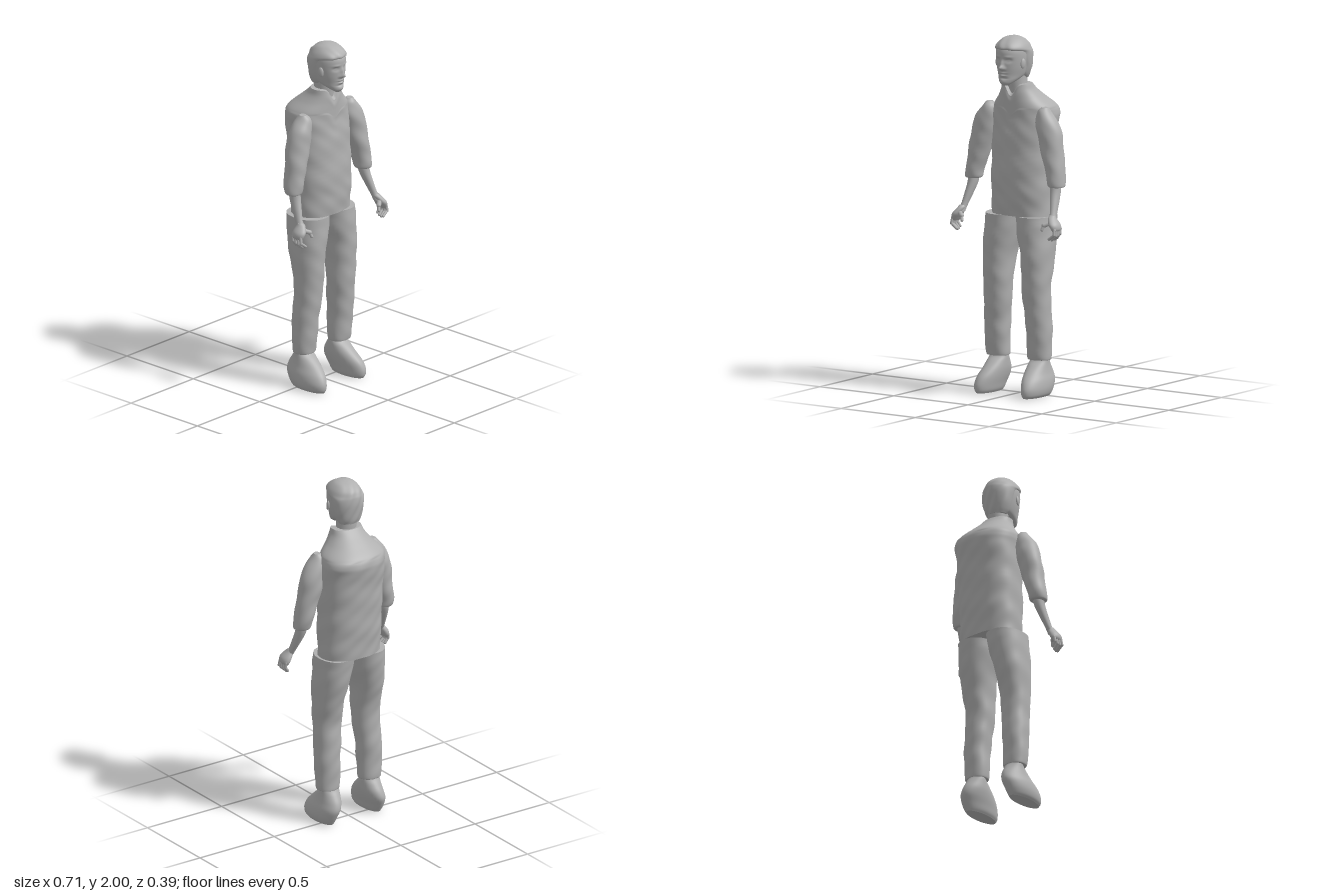
import * as THREE from 'three';

const grey = new THREE.MeshStandardMaterial({ color: 0xb0b0b0 });
grey.name = 'plain grey';

const add = (parent, name, geometry) => {
  const mesh = new THREE.Mesh(geometry, grey);
  mesh.name = name;
  parent.add(mesh);
  return mesh;
};

// Smooth closed loft through horizontal sections [y, xMin, xMax, zMin, zMax].
// power: 2 is an ellipse, more is boxier. side -1 mirrors in x. sculpt(v) moves each vertex.
function loft(rows, { power = 2, side = 1, steps = 5, seg = 36, sculpt = null } = {}) {
  const spline = new THREE.CubicInterpolant(
    rows.map((r, i) => i), rows.flat(), 5, new Float32Array(5));
  const count = (rows.length - 1) * steps;
  const pos = [], idx = [], v = new THREE.Vector3();
  const bend = (c) => Math.sign(c) * Math.abs(c) ** (2 / power);
  for (let i = 0; i <= count; i++) {
    const [y, x0, x1, z0, z1] = spline.evaluate(i / steps);
    for (let j = 0; j < seg; j++) {
      const a = (j / seg) * Math.PI * 2;
      v.set(side * (x0 + x1) / 2 + Math.abs(x1 - x0) / 2 * bend(Math.cos(a)), y,
        (z0 + z1) / 2 + (z1 - z0) / 2 * bend(Math.sin(a)));
      if (sculpt) sculpt(v);
      pos.push(v.x, v.y, v.z);
    }
  }
  for (let i = 0; i < count; i++) {
    for (let j = 0; j < seg; j++) {
      const a = i * seg + j, b = i * seg + (j + 1) % seg;
      idx.push(a, a + seg, b, b, a + seg, b + seg);
    }
  }
  // End caps with their own corners, so the rims stay sharp
  for (const top of [false, true]) {
    const from = top ? count * seg : 0, base = pos.length / 3;
    const [y, x0, x1, z0, z1] = rows[top ? rows.length - 1 : 0];
    pos.push(...pos.slice(from * 3, (from + seg) * 3), side * (x0 + x1) / 2, y, (z0 + z1) / 2);
    for (let j = 0; j < seg; j++) {
      const a = base + j, b = base + (j + 1) % seg;
      idx.push(base + seg, top ? b : a, top ? a : b);
    }
  }
  const g = new THREE.BufferGeometry();
  g.setAttribute('position', new THREE.Float32BufferAttribute(pos, 3));
  g.setIndex(idx);
  g.computeVertexNormals();
  return g;
}

// Soft cloth folds
const folds = (amount) => (v) => {
  v.z += amount * Math.sin(v.y * 47 + v.x * 19) * Math.sin(v.x * 31 + v.y * 12);
  v.x += amount * 0.6 * Math.sin(v.y * 39 + v.z * 23);
};

// Rounded rod between two points, for finger joints
function rod(parent, name, a, b, radius) {
  const p = new THREE.Vector3(...a), q = new THREE.Vector3(...b);
  const mesh = add(parent, name, new THREE.CapsuleGeometry(radius, p.distanceTo(q), 4, 10));
  mesh.position.copy(p).add(q).multiplyScalar(0.5);
  mesh.quaternion.setFromUnitVectors(new THREE.Vector3(0, 1, 0), q.sub(p).normalize());
}

// Face relief: [x, y, widthX, widthY, push]
const FACE = [
  [0, 1.833, 0.012, 0.012, 0.026], [0, 1.855, 0.009, 0.02, 0.013],  // nose tip and bridge
  [-0.015, 1.828, 0.007, 0.007, 0.006], [0.015, 1.828, 0.007, 0.007, 0.006], // nostrils
  [-0.035, 1.874, 0.016, 0.01, -0.011], [0.035, 1.874, 0.016, 0.01, -0.011], // eye sockets
  [-0.035, 1.873, 0.009, 0.005, 0.007], [0.035, 1.873, 0.009, 0.005, 0.007], // eyes
  [-0.035, 1.894, 0.02, 0.006, 0.004], [0.035, 1.894, 0.02, 0.006, 0.004],   // brows
  [0, 1.803, 0.02, 0.005, 0.007], [0, 1.789, 0.017, 0.005, 0.007],           // lips
  [0, 1.796, 0.022, 0.0025, -0.006], [0, 1.773, 0.025, 0.006, -0.006],       // mouth, chin fold
  [0, 1.752, 0.022, 0.012, 0.005],                                           // chin
];

function buildHead(cx) {
  const head = new THREE.Group();
  head.name = 'head';
  add(head, 'neck', loft([
    [1.62, -0.065, 0.06, -0.03, 0.075], [1.70, -0.062, 0.056, -0.03, 0.08],
    [1.75, -0.062, 0.052, -0.033, 0.085], [1.80, -0.065, 0.05, -0.035, 0.09]]));
  const ring = (y, r, z0, z1) => [y, cx - r, cx + r, z0, z1];
  add(head, 'face', loft([
    ring(1.732, 0.018, 0.115, 0.145), ring(1.745, 0.036, 0.09, 0.154), ring(1.765, 0.055, 0.03, 0.157),
    ring(1.79, 0.069, -0.03, 0.157), ring(1.83, 0.08, -0.042, 0.161), ring(1.88, 0.087, -0.05, 0.164),
    ring(1.92, 0.087, -0.05, 0.164), ring(1.95, 0.079, -0.04, 0.15), ring(1.975, 0.06, -0.01, 0.12),
    ring(1.99, 0.03, 0.02, 0.08)], {
    steps: 9, seg: 96,
    sculpt: (v) => {
      if (v.z < 0.1) return;
      const x = v.x - cx, y = v.y;
      for (const [fx, fy, sx, sy, push] of FACE) {
        v.z += push * Math.exp(-(((x - fx) / sx) ** 2) - ((y - fy) / sy) ** 2);
      }
    },
  }));
  // Hair covers the back, then sweeps forward above the brow
  add(head, 'hair', loft([
    ring(1.765, 0.06, -0.034, 0.05), ring(1.79, 0.074, -0.043, 0.07), ring(1.83, 0.087, -0.05, 0.08),
    ring(1.88, 0.094, -0.057, 0.092), ring(1.915, 0.095, -0.057, 0.115), ring(1.935, 0.092, -0.053, 0.163),
    ring(1.96, 0.08, -0.04, 0.154), ring(1.985, 0.057, -0.008, 0.118), ring(1.996, 0.032, 0.02, 0.086),
    ring(2.0, 0.008, 0.045, 0.06)], {
    power: 2.1, seg: 60,
    sculpt: (v) => { v.z += 0.0025 * Math.sin(v.x * 110 + v.y * 60); },
  }));
  for (const side of [-1, 1]) {
    const ear = add(head, 'ear', new THREE.SphereGeometry(1, 16, 12));
    ear.scale.set(0.008, 0.028, 0.016);
    ear.position.set(cx + side * 0.087, 1.855, 0.085);
    ear.rotation.set(-0.15, side * -0.3, 0);
  }
  return head;
}

function buildArm(side) {
  const arm = new THREE.Group();
  arm.name = side > 0 ? 'leftArm' : 'rightArm';
  add(arm, 'sleeve', loft([
    [1.18, 0.25, 0.315, 0.015, 0.085], [1.187, 0.23, 0.326, 0.0, 0.098], [1.23, 0.222, 0.325, -0.012, 0.104],
    [1.30, 0.2, 0.315, -0.02, 0.102], [1.40, 0.166, 0.303, -0.028, 0.098], [1.48, 0.145, 0.288, -0.032, 0.096],
    [1.54, 0.136, 0.262, -0.026, 0.09], [1.59, 0.145, 0.222, -0.01, 0.075], [1.614, 0.168, 0.205, 0.012, 0.055]],
  { side, sculpt: folds(0.003) }));
  add(arm, 'forearm', loft([
    [1.0, 0.286, 0.325, 0.108, 0.155], [1.04, 0.281, 0.317, 0.085, 0.133], [1.10, 0.265, 0.311, 0.052, 0.113],
    [1.16, 0.25, 0.306, 0.025, 0.095], [1.22, 0.245, 0.305, 0.015, 0.085]], { side, seg: 24 }));
  add(arm, 'palm', loft([
    [0.948, 0.325, 0.348, 0.105, 0.165], [0.965, 0.313, 0.357, 0.094, 0.175], [0.99, 0.297, 0.352, 0.094, 0.178],
    [1.02, 0.285, 0.328, 0.102, 0.158], [1.035, 0.288, 0.318, 0.105, 0.14]], { side, seg: 24 }));
  // Four curled fingers in a row from back to front
  for (let i = 0; i < 4; i++) {
    const z = 0.106 + i * 0.019, drop = [0.01, 0.002, 0, 0.006][i];
    const knuckle = [side * 0.343, 0.965, z], joint = [side * 0.346, 0.928 + drop, z + 0.006];
    rod(arm, 'finger', knuckle, joint, 0.009);
    rod(arm, 'fingertip', joint, [side * (0.328 - i * 0.005), 0.903 + drop, z + 0.008], 0.008);
  }
  rod(arm, 'thumbBase', [side * 0.305, 0.995, 0.15], [side * 0.278, 0.983, 0.17], 0.013);
  rod(arm, 'thumbTip', [side * 0.278, 0.983, 0.17], [side * 0.27, 0.958, 0.178], 0.009);
  return arm;
}

function buildLeg(side) {
  const leg = new THREE.Group();
  leg.name = side > 0 ? 'leftLeg' : 'rightLeg';
  const cloth = folds(0.0025);
  const shift = (v) => { v.x -= 0.009 * Math.max(0, 1 - v.y); };
  add(leg, 'trouserLeg', loft([
    [0.2, 0.082, 0.198, -0.046, 0.058], [0.21, 0.072, 0.207, -0.052, 0.066], [0.3, 0.07, 0.211, -0.056, 0.077],
    [0.4, 0.068, 0.211, -0.06, 0.087], [0.5, 0.058, 0.207, -0.056, 0.098], [0.6, 0.05, 0.207, -0.054, 0.107],
    [0.7, 0.047, 0.21, -0.075, 0.114], [0.8, 0.036, 0.213, -0.102, 0.119], [0.9, 0.012, 0.21, -0.122, 0.121],
    [1.0, -0.002, 0.205, -0.134, 0.118]],
  { power: 2.2, side, sculpt: (v) => { if (v.y < 0.97) cloth(v); shift(v); } }));
  // Shoe: flat sole, long toe and rounded heel rising to the ankle
  add(leg, 'shoe', loft([
    [0.0, 0.115, 0.2, -0.055, 0.172], [0.018, 0.104, 0.213, -0.066, 0.182], [0.05, 0.096, 0.219, -0.084, 0.182],
    [0.09, 0.086, 0.215, -0.1, 0.163], [0.13, 0.08, 0.203, -0.092, 0.125], [0.17, 0.08, 0.195, -0.068, 0.08],
    [0.2, 0.082, 0.192, -0.048, 0.045], [0.23, 0.088, 0.19, -0.04, 0.05]],
  { side, sculpt: shift }));
  return leg;
}

export function createModel() {
  const figure = new THREE.Group();
  figure.name = 'standingFigure';

  // Shirt with a notched collar at the throat
  const cloth = folds(0.003);
  add(figure, 'shirt', loft([
    [1.0, -0.175, 0.19, -0.143, 0.112], [1.1, -0.176, 0.191, -0.153, 0.12], [1.2, -0.177, 0.192, -0.161, 0.125],
    [1.4, -0.178, 0.193, -0.175, 0.115], [1.52, -0.18, 0.195, -0.189, 0.106], [1.57, -0.181, 0.196, -0.194, 0.101],
    [1.61, -0.17, 0.183, -0.178, 0.1], [1.66, -0.127, 0.132, -0.122, 0.1], [1.7, -0.1, 0.1, -0.075, 0.1],
    [1.735, -0.09, 0.085, -0.04, 0.094]], {
    power: 2.3, steps: 8, seg: 72,
    sculpt: (v) => {
      if (v.y < 1.6) cloth(v);
      const rise = THREE.MathUtils.clamp((v.y - 1.45) / 0.28, 0, 1);
      if (v.z > 0.03) v.y -= 0.07 * rise * Math.exp(-((v.x / 0.035) ** 2));
    },
  }));

  figure.add(buildHead(-0.01));
  for (const side of [-1, 1]) figure.add(buildArm(side), buildLeg(side));
  return figure;
}
